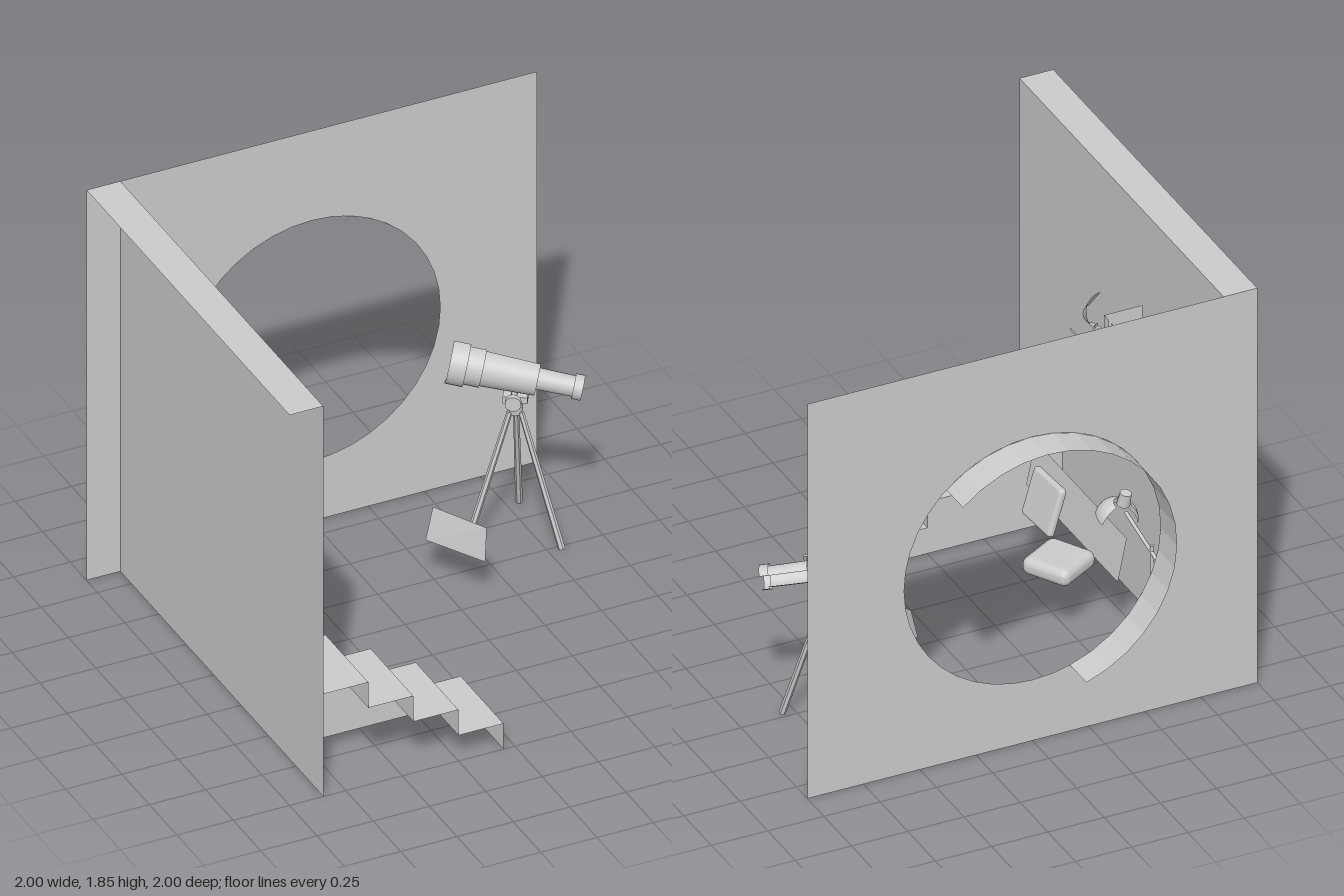
import * as THREE from 'three';
import { RoundedBoxGeometry } from 'three/addons/geometries/RoundedBoxGeometry.js';

const V = (x, y, z) => new THREE.Vector3(x, y, z);
const smooth = new THREE.MeshStandardMaterial({ color: 0xcccccc, side: THREE.DoubleSide });
const flat = new THREE.MeshStandardMaterial({ color: 0xcccccc, side: THREE.DoubleSide, flatShading: true });

export function createModel() {
  const root = new THREE.Group();

  function add(name, geometry, parent = root, material = flat) {
    const mesh = new THREE.Mesh(geometry, material);
    mesh.name = name;
    parent.add(mesh);
    return mesh;
  }

  function group(name) {
    const g = new THREE.Group();
    g.name = name;
    root.add(g);
    return g;
  }

  // Flat four-cornered panel
  function panel(name, a, b, c, d, parent = root) {
    const g = new THREE.BufferGeometry().setFromPoints([a, b, c, a, c, d]);
    g.computeVertexNormals();
    return add(name, g, parent);
  }

  // Turns a geometry so that +y follows axis and +z faces toward face
  function orient(geometry, axis, face, position) {
    const y = axis.clone().normalize();
    const z = face.clone().addScaledVector(y, -face.dot(y)).normalize();
    const m = new THREE.Matrix4().makeBasis(new THREE.Vector3().crossVectors(y, z), y, z);
    return geometry.applyMatrix4(m.setPosition(position));
  }

  // Open tube from a to b, covering an arc centred on the face direction
  function shell(name, a, b, ra, rb, parent, { face = V(0, 0, 1), arc = Math.PI * 2, sides = 20, open = true, mat = smooth } = {}) {
    const axis = b.clone().sub(a);
    const g = new THREE.CylinderGeometry(rb, ra, axis.length(), sides, 1, open, -arc / 2, arc);
    return add(name, orient(g, axis, face, a.clone().lerp(b, 0.5)), parent, mat);
  }

  // Back wall with round window
  const wall = new THREE.Shape([[-1, 0], [1, 0], [1, 1.85], [-1, 1.85]].map(p => new THREE.Vector2(...p)));
  const hole = new THREE.Path();
  hole.absarc(0, 0.855, 0.57, 0, Math.PI * 2, true);
  wall.holes.push(hole);
  add('backWall', new THREE.ShapeGeometry(wall, 20).translate(0, 0, -0.85));

  // Window reveal, running around part of the opening
  const deg = Math.PI / 180;
  add('windowReveal', new THREE.CylinderGeometry(0.57, 0.57, 0.15, 20, 1, true, 138 * deg, 205 * deg)
    .rotateX(Math.PI / 2).translate(0, 0.855, -0.925));

  // Side wall and its top edge
  panel('sideWall', V(-0.85, 0, 1), V(-0.85, 0, -0.85), V(-0.85, 1.85, -0.85), V(-0.85, 1.85, 1));
  panel('sideWallTop', V(-1, 1.85, 1), V(-0.85, 1.85, 1), V(-0.85, 1.85, -0.85), V(-1, 1.85, -0.85));

  // Stairs: treads, risers and the inner side
  const stairs = group('stairs');
  const side = new THREE.Shape().moveTo(-0.05, 0).lineTo(-0.85, 0);
  for (let i = 0; i < 4; i++) {
    const x0 = -0.85 + i * 0.2, x1 = x0 + 0.2;
    const y1 = 0.485 - i * 0.1213, y0 = i < 3 ? y1 - 0.1213 : 0;
    panel('tread', V(x0, y1, 1), V(x1, y1, 1), V(x1, y1, 0.61), V(x0, y1, 0.61), stairs);
    panel('riser', V(x1, y0, 1), V(x1, y0, 0.61), V(x1, y1, 0.61), V(x1, y1, 1), stairs);
    side.lineTo(x0, y1).lineTo(x1, y1);
  }
  add('stairSide', new THREE.ShapeGeometry(side).translate(0, 0, 0.61), stairs);

  // Shelf edge on two triangular brackets
  const shelf = group('shelf');
  panel('shelfEdge', V(-0.65, 1.203, 0.13), V(-0.65, 1.203, -0.74), V(-0.65, 1.217, -0.74), V(-0.65, 1.217, 0.13), shelf);
  const tri = new THREE.Shape().moveTo(-0.85, 1.03).lineTo(-0.67, 1.205).lineTo(-0.85, 1.205);
  tri.holes.push(new THREE.Path().moveTo(-0.83, 1.075).lineTo(-0.83, 1.187).lineTo(-0.715, 1.187));
  for (const z of [0.026, -0.692])
    add('bracket', new THREE.ExtrudeGeometry(tri, { depth: 0.03, bevelEnabled: false }).translate(0, 0, z), shelf);

  // Books: spines and the first cover
  const books = group('books');
  for (const [z0, z1, lean] of [[-0.176, -0.218, 0], [-0.24, -0.283, 0], [-0.302, -0.338, 0], [-0.348, -0.384, 0.016]])
    panel('spine', V(-0.65, 1.217, z0 - lean), V(-0.65, 1.217, z1 - lean), V(-0.65, 1.445, z1), V(-0.65, 1.445, z0), books);
  panel('cover', V(-0.82, 1.217, -0.176), V(-0.65, 1.217, -0.176), V(-0.65, 1.445, -0.176), V(-0.82, 1.445, -0.176), books);

  // Shelf lamp: foot and flared shade
  const shelfLamp = group('shelfLamp');
  const outward = { face: V(1, 0, 0), arc: Math.PI };
  shell('foot', V(-0.715, 1.217, -0.01), V(-0.715, 1.285, -0.01), 0.046, 0.024, shelfLamp, outward);
  shell('shade', V(-0.72, 1.285, 0.088), V(-0.72, 1.367, -0.045), 0.035, 0.083, shelfLamp, outward);

  // Reading lamp: post, arm, cap and dome
  const lamp = group('readingLamp');
  shell('post', V(-0.632, 0.33, -0.645), V(-0.632, 0.63, -0.645), 0.008, 0.008, lamp, { sides: 8, open: false });
  shell('arm', V(-0.61, 0.685, -0.455), V(-0.635, 0.58, -0.69), 0.008, 0.008, lamp, { sides: 8, open: false });
  const domeAxis = V(-0.022, 0.11, -0.035), domeAt = V(-0.59, 0.64, -0.41);
  add('dome', orient(new THREE.SphereGeometry(0.088, 20, 8, -25 * deg, 230 * deg, 25 * deg, 65 * deg),
    domeAxis, V(0, 0, 1), domeAt), lamp, smooth);
  shell('cap', V(-0.607, 0.715, -0.437), V(-0.613, 0.772, -0.448), 0.028, 0.024, lamp, { sides: 14, open: false });

  // Seat back and two cushions
  panel('seatBack', V(-0.625, 0.295, 0.48), V(-0.625, 0.295, -0.35), V(-0.665, 0.49, -0.35), V(-0.665, 0.49, 0.48));
  const leaning = add('leaningCushion', new RoundedBoxGeometry(0.035, 0.215, 0.225, 3, 0.016), root, smooth);
  leaning.position.set(-0.565, 0.388, 0.195);
  leaning.rotation.set(0, 0.06, 0.3);
  const lying = add('lyingCushion', new RoundedBoxGeometry(0.225, 0.078, 0.225, 3, 0.034), root, smooth);
  lying.position.set(-0.465, 0.317, -0.14);
  lying.rotation.y = 30 * deg;

  // Slanted board
  panel('board', V(0.21, 0.2, -0.245), V(0.353, 0.2, 0.005), V(0.37, 0.345, -0.015), V(0.245, 0.345, -0.25));

  // Tripod
  const tripod = group('tripod');
  for (const [x, z] of [[0.805, -0.615], [0.805, -0.225], [0.475, -0.415]])
    shell('leg', V(x, 0.004, z), V(0.69 + (x - 0.69) * 0.12, 0.585, -0.41 + (z + 0.41) * 0.12), 0.015, 0.012, tripod, { sides: 6, open: false, mat: flat });
  shell('head', V(0.69, 0.575, -0.41), V(0.69, 0.635, -0.41), 0.026, 0.034, tripod, { sides: 16, open: false });
  const saddle = add('saddle', new THREE.BoxGeometry(0.1, 0.03, 0.06), tripod);
  saddle.position.set(0.69, 0.65, -0.41);
  saddle.rotation.y = -30 * deg;

  // Telescope: stepped tube sections along one axis
  const scope = group('telescope');
  const p0 = V(0.465, 0.805, -0.55), p1 = V(0.925, 0.7, -0.28);
  const at = t => p0.clone().lerp(p1, t);
  const front = V(-0.5, 0, 0.86);
  for (const [name, t0, t1, r0, r1, arc] of [
    ['hood', 0, 0.13, 0.095, 0.095, 1], ['hoodLip', 0.13, 0.131, 0.095, 0.082, 1],
    ['frontTube', 0.13, 0.25, 0.084, 0.084, 1], ['mainTube', 0.22, 0.66, 0.078, 0.07, 1],
    ['mainTubeEnd', 0.66, 0.661, 0.07, 0.042, 1], ['eyeTube', 0.64, 0.95, 0.045, 0.043, 1.6],
    ['eyeRing', 0.93, 1, 0.052, 0.052, 1.6]])
    shell(name, at(t0), at(t1), r0, r1, scope, { face: front, arc: Math.PI * arc, sides: 16 });

  // Focus knob on the near side
  const knob = V(0.645, 0.672, -0.34);
  shell('knob', knob.clone().addScaledVector(front, -0.012), knob.clone().addScaledVector(front, 0.012),
    0.033, 0.033, scope, { face: V(0, 1, 0), sides: 18, open: false });
  shell('knobShaft', knob, V(0.685, 0.672, -0.41), 0.012, 0.012, scope, { face: V(0, 1, 0), sides: 8 });

  return root;
}
